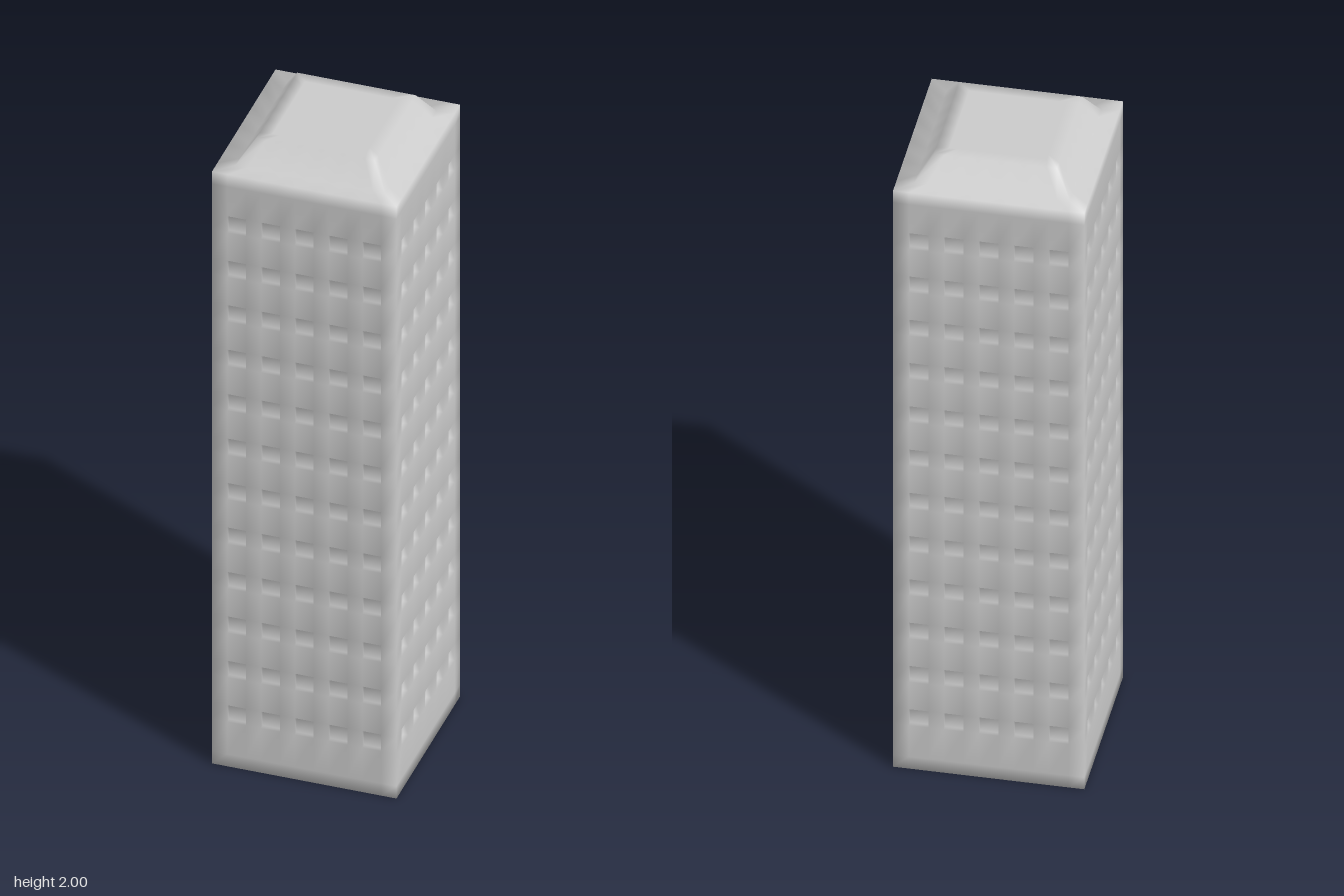
import * as THREE from 'three';
import { mergeVertices } from 'three/addons/utils/BufferGeometryUtils.js';

const HALF = 0.265;      // half width of the tower
const WALL_TOP = 1.93;
const WIN = 0.027;       // half size of a window
const DEPTH = 0.015;     // window recess

// Grid lines: columns across one side, and the outline from base centre to roof centre
const columns = [-HALF];
for (let i = -2; i <= 2; i++) columns.push(i * 0.097 - WIN, i * 0.097 + WIN);
columns.push(HALF);

const outline = [[0, 0, 'base'], [0.225, 0, 'base'], [HALF, 0, 'walls'], [HALF, 0.04, 'walls']];
for (let i = 0; i < 12; i++) {
  const y = 0.172 + i * 0.145;
  outline.push([HALF, y - WIN, 'windowRow'], [HALF, y + WIN, 'walls']);
}
outline.push([HALF, WALL_TOP - 0.04, 'walls'], [HALF, WALL_TOP, 'roof'],
  [0.215, WALL_TOP, 'roof'], [0.17, 2, 'roof'], [0.135, 2, 'roof'], [0, 2, 'roof']);

export function createModel() {
  const parts = { base: [], walls: [], windows: [], roof: [] };
  const up = new THREE.Vector3(0, 1, 0);

  const quad = (part, a, b, c, d) => {
    for (const p of [a, b, c, a, c, d]) parts[part].push(p.x, p.y, p.z);
  };

  // Four identical sides
  for (let side = 0; side < 4; side++) {
    const angle = side * Math.PI / 2;
    const inward = new THREE.Vector3(0, 0, -DEPTH).applyAxisAngle(up, angle);
    const point = (col, row) => {
      const [half, y] = outline[row];
      return new THREE.Vector3(columns[col] * half / HALF, y, half).applyAxisAngle(up, angle);
    };
    for (let r = 0; r < outline.length - 1; r++) {
      for (let c = 0; c < columns.length - 1; c++) {
        const rim = [point(c, r), point(c + 1, r), point(c + 1, r + 1), point(c, r + 1)];
        const kind = outline[r][2];
        if (kind === 'windowRow' && c % 2 === 1) {
          // Recessed window: pane plus four reveals
          const pane = rim.map(p => p.clone().add(inward));
          quad('windows', ...pane);
          for (let k = 0; k < 4; k++) {
            const n = (k + 1) % 4;
            quad('windows', rim[k], rim[n], pane[n], pane[k]);
          }
        } else {
          quad(kind === 'windowRow' ? 'walls' : kind, ...rim);
        }
      }
    }
  }

  // Weld everything so the shading flows smoothly between parts
  const all = new THREE.BufferGeometry();
  all.setAttribute('position', new THREE.Float32BufferAttribute(Object.values(parts).flat(), 3));
  const welded = mergeVertices(all, 1e-4);
  welded.computeVertexNormals();
  const smooth = welded.toNonIndexed();

  // Split back into named parts
  const group = new THREE.Group();
  group.name = 'tower';
  const material = new THREE.MeshStandardMaterial({ color: 0xcccccc });
  let start = 0;
  for (const [name, data] of Object.entries(parts)) {
    const geometry = new THREE.BufferGeometry();
    for (const key of ['position', 'normal']) {
      const slice = smooth.attributes[key].array.slice(start, start + data.length);
      geometry.setAttribute(key, new THREE.BufferAttribute(slice, 3));
    }
    start += data.length;
    const mesh = new THREE.Mesh(geometry, material);
    mesh.name = name;
    group.add(mesh);
  }
  return group;
}
